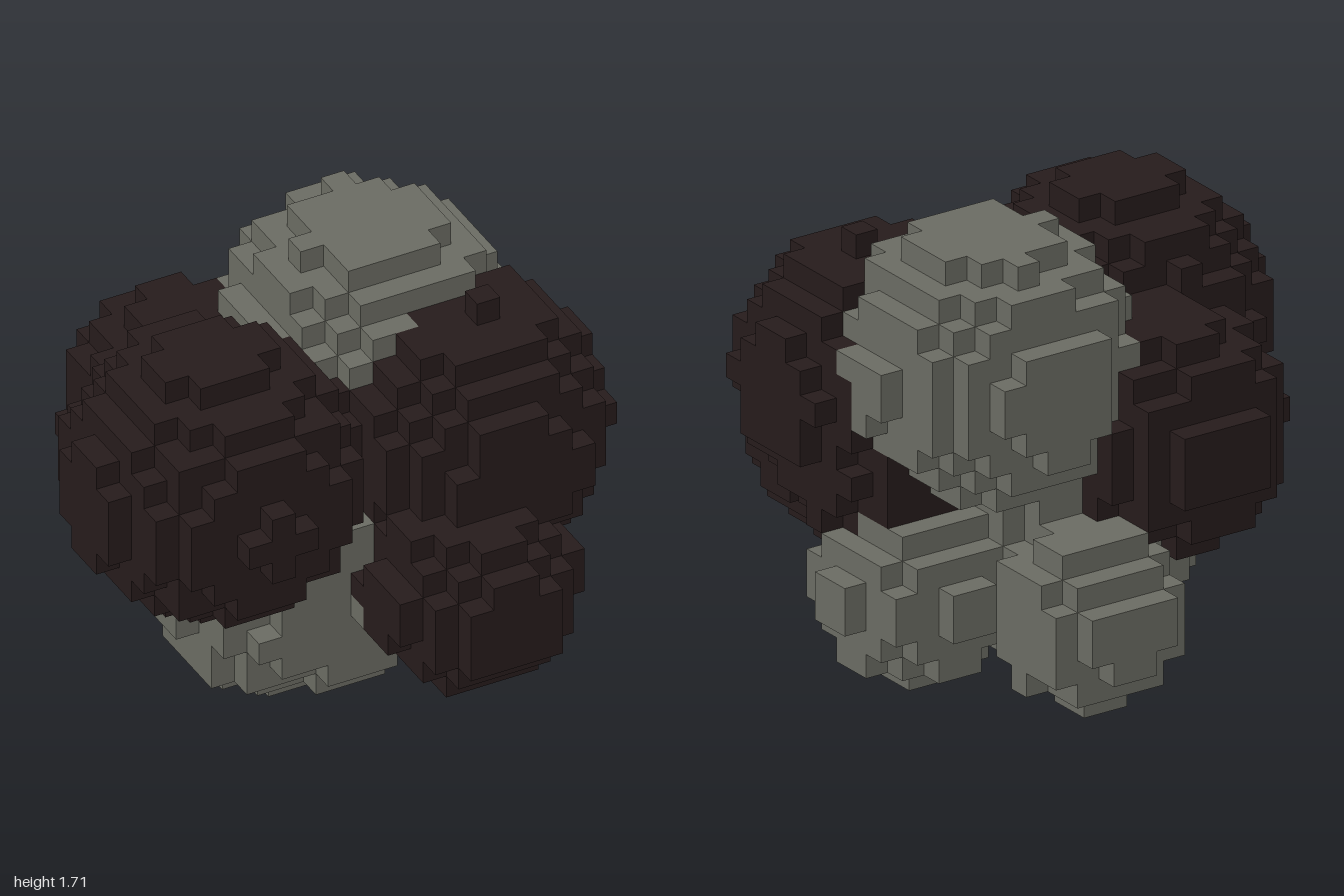
import * as THREE from 'three';

// Grid of cubes: 21 wide, 18 high, 21 deep
const SIZE = [21, 18, 21];
const UNIT = 2 / 21;

// Each ball: name, colour, centre (in cubes) and radius (in cubes)
const BALLS = [
  ['rightDarkBall', 'dark', [5.5, 11.5, 12.1], 5.5],
  ['leftDarkBall', 'dark', [15.9, 11.2, 13], 5.25],
  ['leftDarkInnerBall', 'dark', [16.1, 8.5, 11.5], 4.04],
  ['frontDarkBall', 'dark', [14, 6.6, 17.15], 3.9],
  ['backDarkBall', 'dark', [7.9, 9.5, 5.7], 4.64],
  ['topGreyBall', 'grey', [14.25, 12.85, 8.3], 5.44],
  ['bottomGreyBall', 'grey', [10.5, 5.58, 9.8], 5.75],
  ['frontGreyBall', 'grey', [8.2, 4.9, 11], 3.92],
  ['backGreyBall', 'grey', [13, 3.7, 3.3], 3.35],
  ['leftGreyBall', 'grey', [17, 3.95, 9], 3.59],
];

// Index of the ball that a cube lies deepest inside, or -1 for empty space
function ownerOf(cell) {
  if (cell.some((v, i) => v < 0 || v >= SIZE[i])) return -1;
  if (cell[0] === 16 && cell[1] === 16 && cell[2] === 13) return 1; // single cube on top
  let best = -1;
  let depth = 0;
  BALLS.forEach(([, , c, r], i) => {
    const d = Math.hypot(cell[0] + 0.5 - c[0], cell[1] + 0.5 - c[1], cell[2] + 0.5 - c[2]) - r;
    if (d <= depth) {
      depth = d;
      best = i;
    }
  });
  return best;
}

// Adds the square face of a cube that looks along one axis
function addFace(out, cell, axis, sign) {
  const b = (axis + 1) % 3;
  const c = (axis + 2) % 3;
  const corners = [[0, 0], [1, 0], [1, 1], [0, 1]].map(([u, v]) => {
    const p = [...cell];
    p[axis] += sign > 0 ? 1 : 0;
    p[b] += u;
    p[c] += v;
    return [p[0] * UNIT - 1, p[1] * UNIT, p[2] * UNIT - 1];
  });
  const order = sign > 0 ? [0, 1, 2, 0, 2, 3] : [0, 2, 1, 0, 3, 2];
  for (const k of order) out.push(...corners[k]);
}

export function createModel() {
  const group = new THREE.Group();
  group.name = 'ballCluster';

  const materials = {
    dark: new THREE.MeshStandardMaterial({ color: 0x261b1b }),
    grey: new THREE.MeshStandardMaterial({ color: 0x6a6b62 }),
  };
  materials.dark.name = 'darkBrown';
  materials.grey.name = 'stoneGrey';

  // Collect the exposed cube faces of every ball
  const faces = BALLS.map(() => []);
  for (let x = 0; x < SIZE[0]; x++) {
    for (let y = 0; y < SIZE[1]; y++) {
      for (let z = 0; z < SIZE[2]; z++) {
        const cell = [x, y, z];
        const owner = ownerOf(cell);
        if (owner < 0) continue;
        for (let axis = 0; axis < 3; axis++) {
          for (const sign of [-1, 1]) {
            const next = [...cell];
            next[axis] += sign;
            if (ownerOf(next) < 0) addFace(faces[owner], cell, axis, sign);
          }
        }
      }
    }
  }

  // One mesh for each ball
  BALLS.forEach(([name, colour], i) => {
    const geometry = new THREE.BufferGeometry();
    geometry.setAttribute('position', new THREE.Float32BufferAttribute(faces[i], 3));
    geometry.computeVertexNormals();
    const mesh = new THREE.Mesh(geometry, materials[colour]);
    mesh.name = name;
    group.add(mesh);
  });
  return group;
}
